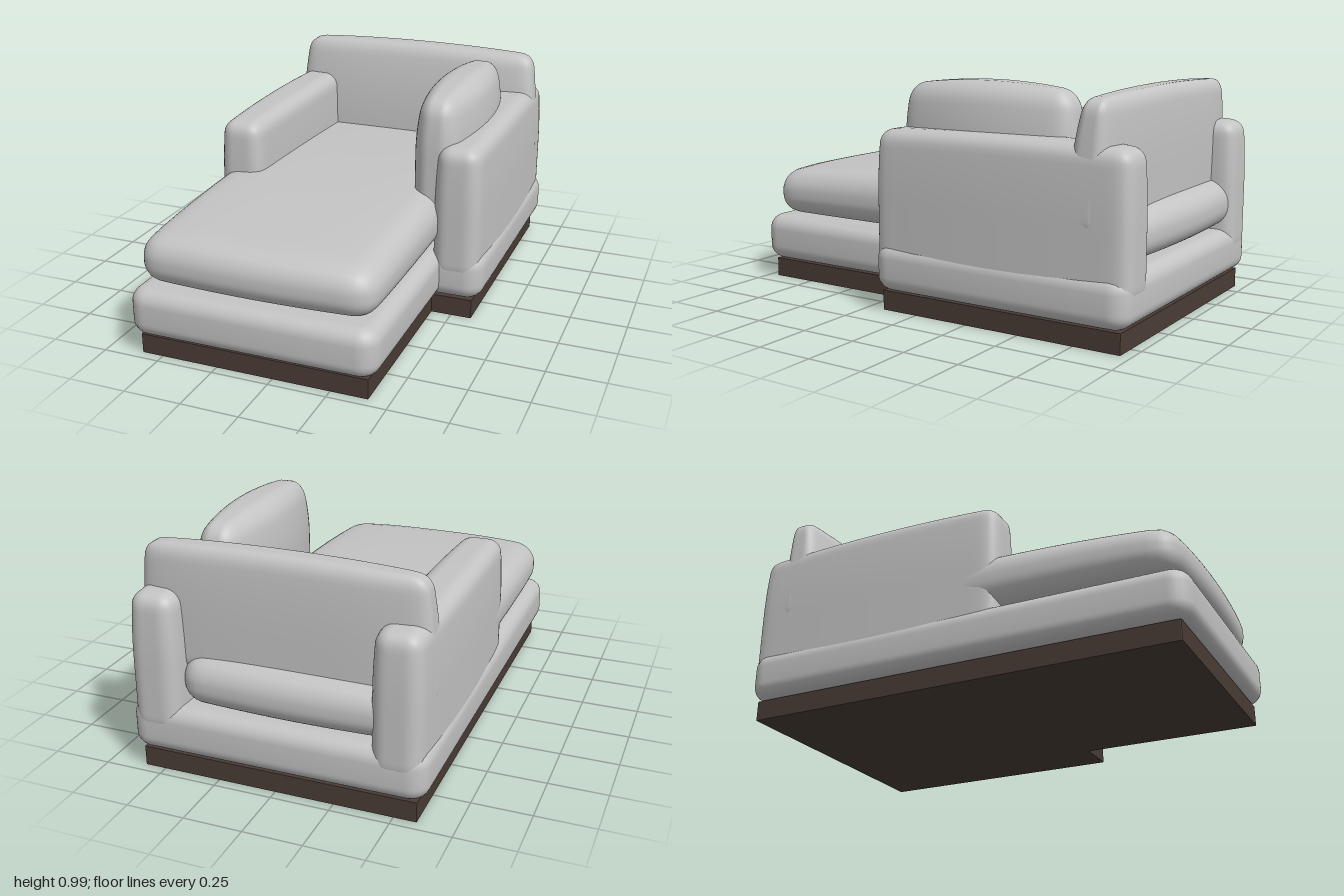
import * as THREE from 'three';
import { mergeVertices, toCreasedNormals } from 'three/addons/utils/BufferGeometryUtils.js';

// Soft block: half sizes h, edge radii r, then bent by warp(p, u) with u in -1..1.
function softBlock(h, r, warp, n = 26) {
  const g = new THREE.BoxGeometry(2, 2, 2, n, n, n);
  g.deleteAttribute('normal');
  g.deleteAttribute('uv');
  const pos = g.attributes.position;
  const p = new THREE.Vector3(), u = new THREE.Vector3();
  for (let i = 0; i < pos.count; i++) {
    const core = [], d = [];
    for (let a = 0; a < 3; a++) {
      // crowd the grid towards the rounded edges
      const v = Math.sin(pos.getComponent(i, a) * Math.PI / 2) * h[a];
      const c = h[a] - r[a];
      core[a] = THREE.MathUtils.clamp(v, -c, c);
      d[a] = (v - core[a]) / r[a];
    }
    const len = Math.hypot(...d) || 1;
    p.fromArray(core.map((c, a) => c + d[a] / len * r[a]));
    u.set(p.x / h[0], p.y / h[1], p.z / h[2]);
    warp(p, u);
    pos.setXYZ(i, p.x, p.y, p.z);
  }
  const merged = mergeVertices(g, 1e-5);
  merged.computeVertexNormals();
  return merged;
}

// L-shaped plan, long on the right side; corners are [x, z, radius].
function planShape(x0, x1, x2, z0, z1, z2, r) {
  const pts = [[x0, z0, r], [x2, z0, r], [x2, z1, r], [x1, z1, 0], [x1, z2, r], [x0, z2, r]]
    .map(([x, z, q]) => ({ v: new THREE.Vector2(x, z), q }));
  const s = new THREE.Shape();
  pts.forEach(({ v, q }, i) => {
    const prev = pts[(i + 5) % 6].v, next = pts[(i + 1) % 6].v;
    const a = v.clone().add(prev.clone().sub(v).setLength(q || 1e-9));
    const b = v.clone().add(next.clone().sub(v).setLength(q || 1e-9));
    if (!q) { s.lineTo(v.x, v.y); return; }
    if (i === 0) s.moveTo(a.x, a.y); else s.lineTo(a.x, a.y);
    s.quadraticCurveTo(v.x, v.y, b.x, b.y);
  });
  s.closePath();
  return s;
}

export function createModel() {
  const group = new THREE.Group();
  const fabric = new THREE.MeshStandardMaterial({ color: 0xc4c4c4 });
  fabric.name = 'grey fabric';
  const wood = new THREE.MeshStandardMaterial({ color: 0x4a3c35 });
  wood.name = 'dark wood';
  const add = (name, geo, mat, x = 0, y = 0, z = 0) => {
    const m = new THREE.Mesh(geo, mat);
    m.name = name;
    m.position.set(x, y, z);
    group.add(m);
    return m;
  };

  // Plinth
  const plinth = new THREE.ExtrudeGeometry(
    planShape(-0.595, 0.41, 0.592, -0.955, 0.17, 0.957, 0.004),
    { depth: 0.086, bevelEnabled: false, curveSegments: 2 });
  plinth.rotateX(Math.PI / 2);
  add('plinth', plinth, wood, 0, 0.086, 0);

  // Upholstered base with rolled edges
  const b = 0.065;
  const base = new THREE.ExtrudeGeometry(
    planShape(-0.635 + b, 0.45 - b, 0.635 - b, -0.99 + b, 0.2 - b, 1 - b, 0.02),
    { depth: 0.21 - 2 * b, bevelSize: b, bevelThickness: b, bevelSegments: 8, curveSegments: 6 });
  base.rotateX(Math.PI / 2);
  add('base', toCreasedNormals(base, 0.8), fabric, 0, 0.3 - b, 0);

  // Long seat cushion, crowned on top and pinched at the rim
  add('seatCushion', softBlock([0.527, 0.127, 0.98], [0.1, 0.115, 0.1], (p, u) => {
    const top = (u.y + 1) / 2;
    p.y -= top * (0.045 * u.z ** 2 + 0.018 * u.x ** 4);
    p.z *= 1 - 0.03 * u.x ** 2;
    p.x *= 1 - 0.03 * u.z ** 4;
  }), fabric, -0.092, 0.435, -0.003);

  // Arms
  const arm = softBlock([0.117, 0.305, 0.597], [0.075, 0.06, 0.06], (p, u) => {
    const up = Math.max(u.y, 0);
    p.x *= (1 - 0.13 * u.z ** 2) * (1 - 0.12 * up ** 2);
    p.y -= up * 0.015 * u.z ** 2;
    p.z *= 1 - 0.02 * up ** 2;
  });
  for (const [name, side] of [['leftArm', 1], ['rightArm', -1]]) {
    add(name, arm, fabric, side * 0.511, 0.487, -0.395);
  }

  // Backrest, thinner towards the top and the ends
  add('backrest', softBlock([0.622, 0.27, 0.105], [0.06, 0.06, 0.065], (p, u) => {
    const up = (u.y + 1) / 2;
    p.x *= 1 - 0.06 * up ** 2;
    p.y -= up * 0.018 * u.x ** 2;
    p.z = p.z * (1 - 0.38 * up ** 3) * (1 - 0.28 * u.x ** 4) - 0.025 * up ** 2;
  }), fabric, 0, 0.703, -0.795);

  // Loose cushion leaning on the left arm
  add('sideCushion', softBlock([0.142, 0.28, 0.412], [0.1, 0.08, 0.07], (p, u) => {
    const up = Math.max(u.y, 0);
    p.x *= (1 - 0.42 * u.z ** 2) * (1 - 0.28 * up ** 2);
    p.y -= up * 0.03 * u.z ** 2;
    p.z *= 1 - 0.06 * up ** 2;
  }), fabric, 0.393, 0.71, -0.257);

  return group;
}
